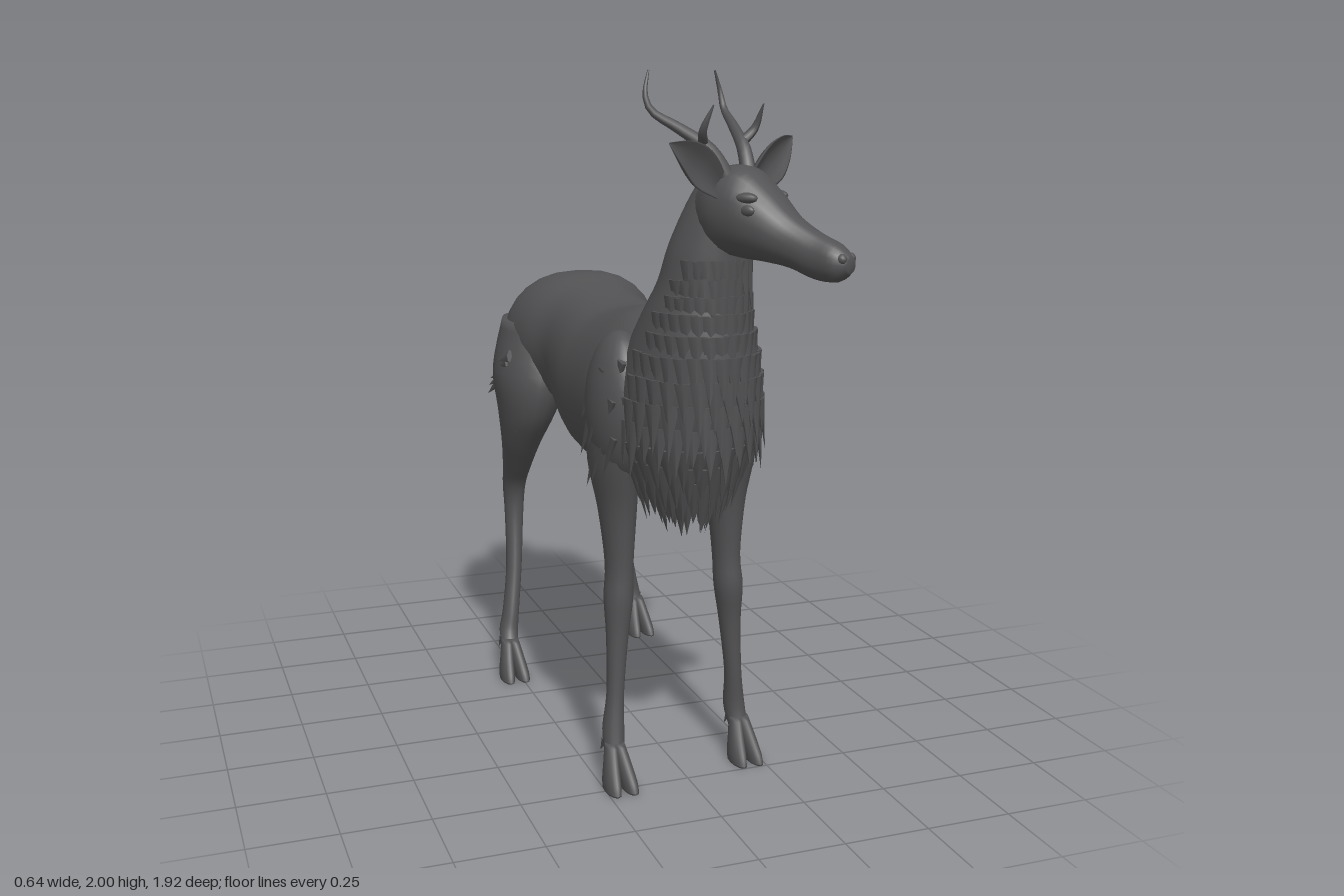
import * as THREE from 'three';
import { mergeGeometries } from 'three/addons/utils/BufferGeometryUtils.js';

const V = (x, y, z) => new THREE.Vector3(x, y, z);

// Catmull-Rom sample of a list of number rows, t in 0..1
function sample(rows, t) {
  const last = rows.length - 1, i = Math.min(Math.floor(t * last), last - 1), f = t * last - i;
  const at = k => rows[Math.max(0, Math.min(last, k))];
  return rows[i].map((b, k) => {
    const a = at(i - 1)[k], c = at(i + 1)[k], d = at(i + 2)[k];
    return b + 0.5 * f * (c - a + f * (2 * a - 5 * b + 4 * c - d + f * (3 * (b - c) + d - a)));
  });
}

// Closed skin through smoothly interpolated cross-sections, with capped ends
function loft(rows, point, sides = 16, sub = 4) {
  const n = (rows.length - 1) * sub, pos = [], idx = [], mid = [V(0, 0, 0), V(0, 0, 0)];
  for (let i = 0; i <= n; i++) {
    const row = sample(rows, i / n);
    for (let j = 0; j < sides; j++) {
      const p = point(row, j / sides * Math.PI * 2);
      pos.push(p.x, p.y, p.z);
      if (i === 0) mid[0].addScaledVector(p, 1 / sides);
      if (i === n) mid[1].addScaledVector(p, 1 / sides);
    }
  }
  mid.forEach(m => pos.push(m.x, m.y, m.z));
  const c0 = (n + 1) * sides;
  for (let j = 0; j < sides; j++) {
    const k = (j + 1) % sides;
    for (let i = 0; i < n; i++) {
      const a = i * sides + j, b = i * sides + k, c = a + sides, d = b + sides;
      idx.push(a, b, c, b, d, c);
    }
    idx.push(c0, k, j, c0 + 1, n * sides + j, n * sides + k);
  }
  // turn the skin outward if its volume is negative
  const at = i => V(pos[i * 3], pos[i * 3 + 1], pos[i * 3 + 2]);
  let vol = 0;
  for (let i = 0; i < idx.length; i += 3) vol += at(idx[i]).dot(at(idx[i + 1]).cross(at(idx[i + 2])));
  if (vol < 0) idx.reverse();
  const g = new THREE.BufferGeometry();
  g.setAttribute('position', new THREE.Float32BufferAttribute(pos, 3));
  g.setIndex(idx);
  g.computeVertexNormals();
  return g;
}

// Section rules: upright limb, and lengthwise trunk
const limb = ([x, y, z, rx, rz], a) => V(x + rx * Math.cos(a), y, z + rz * Math.sin(a));
const trunk = ([z, top, low, w], a) => {
  const c = Math.cos(a);
  return V(w * Math.sign(c) * Math.abs(c) ** 0.85, (top + low) / 2 + (top - low) / 2 * Math.sin(a), z);
};

// Tapered curved horn
function horn(points, r) {
  const curve = new THREE.CatmullRomCurve3(points), seg = 16, sides = 8;
  const g = new THREE.TubeGeometry(curve, seg, r, sides), p = g.attributes.position;
  for (let i = 0; i <= seg; i++) {
    const c = curve.getPointAt(i / seg), k = 1 - 0.88 * (i / seg) ** 1.5;
    for (let j = 0; j <= sides; j++) {
      const q = i * (sides + 1) + j, v = V(0, 0, 0).fromBufferAttribute(p, q).sub(c).multiplyScalar(k).add(c);
      p.setXYZ(q, v.x, v.y, v.z);
    }
  }
  g.computeVertexNormals();
  return g;
}

// Flat pointed lock of fur lying along dir, its flat side facing out
function tuft(base, dir, out, len, width) {
  const g = new THREE.ConeGeometry(width, len, 6, 1);
  g.scale(1, 1, 0.4);
  g.translate(0, len * 0.4, 0);
  const y = dir.clone().normalize(), x = y.clone().cross(out).normalize(), z = x.clone().cross(y);
  return g.applyMatrix4(new THREE.Matrix4().makeBasis(x, y, z).setPosition(base));
}

export function createModel() {
  const model = new THREE.Group();
  const coat = new THREE.MeshStandardMaterial({ color: 0x525254 });
  coat.name = 'dark grey coat';
  const add = (name, geo, parent = model) => {
    const m = new THREE.Mesh(geo, coat);
    m.name = name;
    parent.add(m);
    return m;
  };
  const jitter = n => { const s = Math.sin(n * 91.7) * 437.5; return s - Math.floor(s); };

  // Trunk
  add('body', loft([
    [0.5, 1.28, 0.95, 0.1], [0.42, 1.34, 0.86, 0.19], [0.3, 1.36, 0.83, 0.225], [0.15, 1.335, 0.83, 0.235],
    [0, 1.31, 0.83, 0.232], [-0.15, 1.32, 0.86, 0.21], [-0.28, 1.34, 0.91, 0.2], [-0.4, 1.36, 0.93, 0.235],
    [-0.52, 1.355, 0.92, 0.25], [-0.62, 1.325, 0.92, 0.225], [-0.7, 1.26, 0.95, 0.165], [-0.75, 1.16, 1.03, 0.07],
  ], trunk, 28));

  // Neck and chest
  const neck = [
    [0.045, 1.74, 0.6, 0.05, 0.05], [0.04, 1.66, 0.595, 0.088, 0.095], [0.02, 1.55, 0.578, 0.112, 0.112],
    [0.01, 1.45, 0.56, 0.125, 0.13], [0, 1.36, 0.535, 0.145, 0.17], [0, 1.25, 0.505, 0.175, 0.215],
    [0, 1.12, 0.485, 0.195, 0.225], [0, 1, 0.465, 0.185, 0.205], [0, 0.9, 0.445, 0.14, 0.165], [0, 0.84, 0.45, 0.05, 0.08],
  ];
  add('neck', loft(neck, limb, 24));

  // Shaggy ruff: rows of locks over the front of the neck
  const locks = [];
  for (let r = 0; r < 13; r++) {
    const t = 0.27 + r * 0.056, spread = 0.8 + Math.min(r, 7) * 0.1, count = 9 + Math.min(r, 5);
    const row = sample(neck, t);
    for (let i = 0; i < count; i++) {
      const n = r * 20 + i, a = Math.PI / 2 + ((i + (r % 2) * 0.5) / (count - 1) * 2 - 1) * spread;
      const out = V(Math.cos(a), 0, Math.sin(a));
      const dir = V(0, -1, 0).addScaledVector(out, t > 0.75 ? -0.25 : 0.1 - jitter(n) * 0.06);
      locks.push(tuft(limb(row, a).addScaledVector(out, -0.004), dir, out, 0.1 + jitter(n + 7) * 0.06, 0.03));
    }
  }
  add('chestRuff', mergeGeometries(locks));

  // Head, turned toward the model's left
  const head = new THREE.Group();
  head.name = 'head';
  head.position.set(0.05, 0, 0.655);
  head.rotation.y = 0.56;
  model.add(head);
  add('skull', loft([
    [-0.1, 1.7, 1.58, 0.045], [-0.03, 1.755, 1.54, 0.092], [0.05, 1.76, 1.525, 0.1], [0.12, 1.71, 1.52, 0.084],
    [0.19, 1.645, 1.51, 0.06], [0.26, 1.605, 1.487, 0.048], [0.32, 1.58, 1.485, 0.044], [0.355, 1.55, 1.51, 0.02],
  ], trunk, 20), head);

  for (const s of [-1, 1]) {
    // Eyes, ears and antlers
    const eye = new THREE.SphereGeometry(0.018, 12, 8);
    eye.scale(0.6, 0.8, 1.2);
    add('eye', eye.translate(s * 0.083, 1.655, 0.1), head);
    add('brow', new THREE.SphereGeometry(0.03, 12, 8).scale(0.7, 0.5, 1.2).translate(s * 0.07, 1.685, 0.085), head);
    add('nostril', new THREE.SphereGeometry(0.014, 10, 8).translate(s * 0.02, 1.545, 0.34), head);
    add('ear', loft([
      [0.05, 1.69, 0, 0.02], [0.11, 1.73, -0.005, 0.045], [0.17, 1.765, -0.01, 0.055],
      [0.225, 1.8, -0.005, 0.036], [0.275, 1.825, 0, 0.003],
    ], ([x, y, z, w], a) => {
      const c = Math.cos(a);
      return V(s * (x - 0.53 * w * c), y + 0.85 * w * c, z + w * (0.22 * Math.sin(a) + 0.6 * c * c));
    }, 14), head);
    add('antler', horn([V(s * 0.045, 1.72, 0.02), V(s * 0.075, 1.8, -0.02), V(s * 0.12, 1.855, -0.085),
      V(s * 0.16, 1.9, -0.145), V(s * 0.165, 1.94, -0.16), V(s * 0.145, 2, -0.165)], 0.021), head);
    add('antlerTine', horn([V(s * 0.085, 1.815, -0.035), V(s * 0.115, 1.85, -0.015), V(s * 0.112, 1.915, 0.015)], 0.014), head);

    // Shoulder and its locks
    add('shoulder', new THREE.SphereGeometry(1, 24, 16).scale(0.095, 0.22, 0.14).translate(s * 0.16, 1.08, 0.37));
    const fur = [];
    for (let i = 0; i < 11; i++) {
      const y = 1.22 - i * 0.026, z = 0.46 - (i % 4) * 0.055;
      const x = 0.15 + 0.092 * Math.sqrt(Math.max(0, 1 - ((y - 1.08) / 0.22) ** 2 - ((z - 0.37) / 0.14) ** 2));
      fur.push(tuft(V(s * x, y, z), V(s * 0.15, -1, -0.3), V(s, 0.2, 0), 0.13, 0.028));
    }
    // Locks on the thigh
    for (let i = 0; i < 6; i++) {
      fur.push(tuft(V(s * 0.275, 1.1 - i * 0.022, -0.4 - i * 0.028), V(s * 0.22, -0.35 - jitter(i) * 0.4, -1), V(s, 0.2, 0), 0.1, 0.022));
      fur.push(tuft(V(s * 0.245, 0.93 - i * 0.025, -0.37 - i * 0.03), V(s * 0.15, -1, -0.3), V(s, 0, 0.3), 0.1, 0.022));
    }
    // Elbow and belly fringe
    for (let i = 0; i < 5; i++)
      fur.push(tuft(V(s * (0.16 - i * 0.02), 0.865, 0.25 - i * 0.055), V(0, -0.5, -1), V(s, -0.5, 0), 0.09, 0.02));
    add('furLocks', mergeGeometries(fur));

    // Cloven hoof with dewclaws, hung below a fetlock
    const hoof = (name, x, z) => {
      for (const d of [-1, 1]) {
        add(name, loft([[x + d * 0.01, 0.12, z, 0.018, 0.026], [x + d * 0.018, 0.07, z + 0.025, 0.021, 0.036],
          [x + d * 0.024, 0.025, z + 0.045, 0.023, 0.052], [x + d * 0.026, 0, z + 0.055, 0.022, 0.055]], limb, 12));
        add('dewclaw', tuft(V(x + d * 0.02, 0.12, z - 0.025), V(d * 0.2, -1, -0.5), V(0, 0, -1), 0.05, 0.013));
      }
    };

    // Front leg, the right one a little further forward
    const f = s < 0 ? 0.025 : -0.03;
    add('frontLeg', loft([
      [s * 0.17, 1.1, 0.37, 0.08, 0.13], [s * 0.175, 0.93, 0.355, 0.07, 0.11], [s * 0.167, 0.79, 0.362, 0.054, 0.072],
      [s * 0.165, 0.63, 0.372, 0.04, 0.05], [s * 0.17, 0.53, 0.38, 0.042, 0.047], [s * 0.178, 0.42, 0.385 + f * 0.3, 0.032, 0.035],
      [s * 0.19, 0.26, 0.395 + f * 0.6, 0.025, 0.028], [s * 0.2, 0.15, 0.395 + f, 0.031, 0.038], [s * 0.205, 0.085, 0.42 + f, 0.028, 0.03],
    ], limb));
    hoof('frontHoof', s * 0.205, 0.42 + f);

    // Hind leg: z path differs, the left one standing further back
    const path = s > 0
      ? [-0.53, -0.51, -0.52, -0.575, -0.655, -0.712, -0.728, -0.733, -0.735, -0.742, -0.715]
      : [-0.53, -0.49, -0.47, -0.49, -0.545, -0.588, -0.58, -0.54, -0.505, -0.49, -0.45];
    add('hindLeg', loft([
      [0.14, 1.2, 0.11, 0.17], [0.17, 1.04, 0.125, 0.185], [0.195, 0.91, 0.092, 0.145], [0.21, 0.8, 0.064, 0.09],
      [0.212, 0.7, 0.046, 0.066], [0.212, 0.62, 0.037, 0.052], [0.216, 0.52, 0.031, 0.036], [0.23, 0.35, 0.026, 0.031],
      [0.252, 0.21, 0.027, 0.033], [0.265, 0.14, 0.031, 0.036], [0.272, 0.085, 0.028, 0.03],
    ].map(([x, y, rx, rz], i) => [s * x, y, path[i], rx, rz]), limb, 18));
    hoof('hindHoof', s * 0.272, path[10]);
  }

  // Tail with a ragged fan of locks
  const tail = [[1.28, -0.64, 0.04, 0.03], [1.235, -0.75, 0.045, 0.04], [1.17, -0.81, 0.075, 0.055],
    [1.09, -0.86, 0.09, 0.062], [1.02, -0.89, 0.07, 0.045], [0.96, -0.915, 0.015, 0.012]];
  const tailPoint = ([y, z, w, h], a) => V(w * Math.cos(a), y + 0.5 * h * Math.sin(a), z - 0.85 * h * Math.sin(a));
  add('tail', loft(tail, tailPoint, 16));
  const fan = [];
  for (let r = 0; r < 4; r++) for (let i = 0; i < 9; i++) {
    const a = (i + r * 0.5) / 9 * Math.PI * 2, p = tailPoint(sample(tail, 0.38 + r * 0.13), a);
    const out = V(Math.cos(a), 0.5 * Math.sin(a), -0.85 * Math.sin(a));
    fan.push(tuft(p.addScaledVector(out, -0.006), V(Math.cos(a) * (0.2 - r * 0.12), -1, -0.42), out, 0.09, 0.022));
  }
  add('tailLocks', mergeGeometries(fan));
  return model;
}
